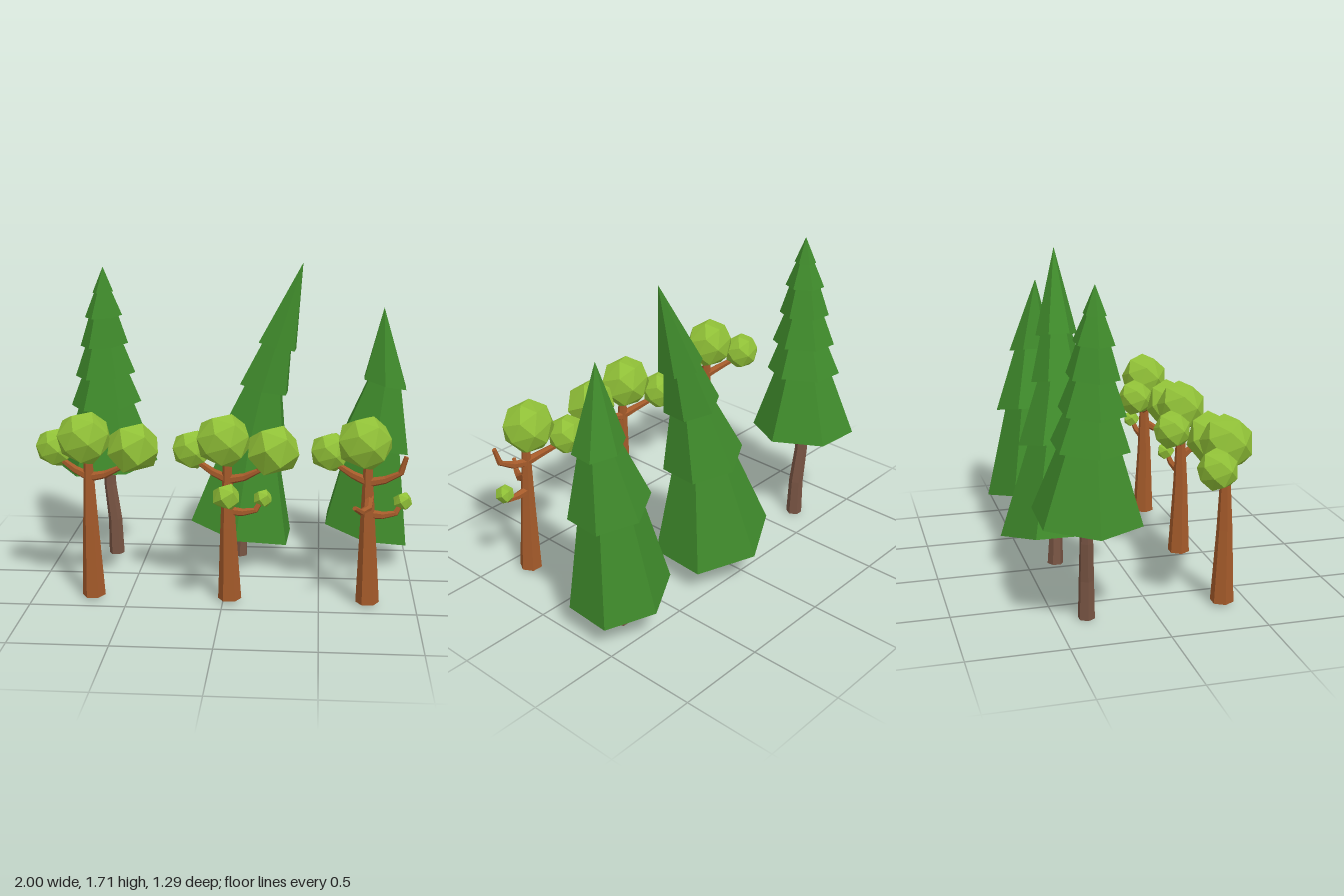
import * as THREE from 'three';
import { ConvexGeometry } from 'three/addons/geometries/ConvexGeometry.js';

const mat = (name, color) => {
  const m = new THREE.MeshStandardMaterial({ color, flatShading: true });
  m.name = name;
  return m;
};

export function createModel() {
  const model = new THREE.Group();
  model.name = 'forest';
  const needleGreen = mat('needleGreen', 0x3f8a2b);
  const leafGreen = mat('leafGreen', 0x90c037);
  const bark = mat('bark', 0xa45a2a);
  const darkBark = mat('darkBark', 0x785443);

  const add = (group, name, geometry, material) => {
    const mesh = new THREE.Mesh(geometry, material);
    mesh.name = name;
    group.add(mesh);
    return mesh;
  };

  // Tapered, capped, six-sided limb swept along a path
  function limb(points, r0, r1) {
    const curve = new THREE.CatmullRomCurve3(points.map(p => new THREE.Vector3(...p)));
    const n = points.length - 1;
    const frames = curve.computeFrenetFrames(n);
    const g = new THREE.CylinderGeometry(1, 1, 1, 6, n);
    const pos = g.attributes.position;
    for (let i = 0; i < pos.count; i++) {
      const t = pos.getY(i) + 0.5;
      const k = Math.round(t * n);
      const r = THREE.MathUtils.lerp(r0, r1, t);
      const p = curve.getPointAt(k / n)
        .addScaledVector(frames.normals[k], pos.getX(i) * r)
        .addScaledVector(frames.binormals[k], -pos.getZ(i) * r);
      pos.setXYZ(i, p.x, p.y, p.z);
    }
    g.computeVertexNormals();
    return g;
  }

  // Hexagonal skirt between two ring centres, rings sloped, underside hollowed
  function skirt(top, rTop, bottom, rBottom, slopeX, slopeZ, turn) {
    const g = new THREE.CylinderGeometry(rTop, rBottom, 1, 6, 1, false, turn);
    const pos = g.attributes.position;
    const a = new THREE.Vector3(...bottom), b = new THREE.Vector3(...top);
    for (let i = 0; i < pos.count; i++) {
      const x = pos.getX(i), z = pos.getZ(i), t = pos.getY(i) + 0.5;
      const c = a.clone().lerp(b, t);
      const hollow = t === 0 && Math.hypot(x, z) < 1e-6 ? rBottom * 0.15 : 0;
      pos.setXYZ(i, c.x + x, c.y + slopeX * x + slopeZ * z + hollow, c.z + z);
    }
    g.computeVertexNormals();
    return g;
  }

  // Faceted leaf clump: hull of evenly spread points on a ball
  function clumpGeometry(r, count) {
    const points = [];
    for (let i = 0; i < count; i++) {
      const y = 1 - (2 * i + 1) / count, s = Math.sqrt(1 - y * y), a = i * 2.39996;
      points.push(new THREE.Vector3(s * Math.cos(a), y, s * Math.sin(a)).multiplyScalar(r));
    }
    return new ConvexGeometry(points);
  }

  // Conifer: rings run from under the tip down, as [x, y, z, radius]
  function conifer(name, { apex, rings, slopeX, slopeZ, turn, trunk }) {
    const tree = new THREE.Group();
    tree.name = name;
    add(tree, 'coniferTrunk', limb(trunk, 0.044, 0.03), darkBark);
    let top = apex, rTop = 0;
    rings.forEach(([x, y, z, r], i) => {
      add(tree, 'needleTier' + (i + 1), skirt(top, rTop, [x, y, z], r, slopeX, slopeZ, turn), needleGreen);
      top = [x, y + 0.015, z];
      rTop = r * 0.74;
    });
    model.add(tree);
  }

  conifer('tallConifer', {
    apex: [-0.72, 1.675, -0.303],
    rings: [
      [-0.722, 1.535, -0.305, 0.058], [-0.722, 1.4, -0.31, 0.105], [-0.722, 1.24, -0.315, 0.135],
      [-0.72, 1.07, -0.32, 0.17], [-0.72, 0.9, -0.33, 0.2], [-0.718, 0.545, -0.348, 0.283],
    ],
    slopeX: 0.07, slopeZ: -0.05, turn: Math.PI / 6,
    trunk: [[-0.68, 0, -0.345], [-0.685, 0.2, -0.345], [-0.712, 0.42, -0.35], [-0.72, 0.62, -0.35]],
  });
  conifer('leaningConifer', {
    apex: [0.39, 1.71, -0.257],
    rings: [
      [0.253, 1.25, -0.278, 0.115], [0.18, 1.01, -0.288, 0.147],
      [0.11, 0.68, -0.31, 0.215], [0.053, 0.19, -0.332, 0.311],
    ],
    slopeX: -0.23, slopeZ: 0, turn: -0.05,
    trunk: [[0.045, 0.008, -0.345], [0.05, 0.15, -0.34], [0.06, 0.3, -0.332]],
  });
  conifer('shortConifer', {
    apex: [0.835, 1.468, -0.275],
    rings: [[0.852, 1.045, -0.3, 0.133], [0.806, 0.7, -0.315, 0.21], [0.766, 0.187, -0.335, 0.262]],
    slopeX: -0.24, slopeZ: 0, turn: -0.05,
    trunk: [[0.772, 0.008, -0.345], [0.774, 0.15, -0.345], [0.775, 0.3, -0.335]],
  });

  // Broadleaf branches and leaf clumps, placed relative to the trunk foot in x
  const branches = {
    leftTop: [[-0.01, 0.66, 0.365], [-0.08, 0.685, 0.34], [-0.15, 0.72, 0.3], [-0.2, 0.77, 0.26]],
    rightTop: [[-0.01, 0.655, 0.365], [0.065, 0.67, 0.37], [0.145, 0.7, 0.38], [0.18, 0.8, 0.39]],
    rightLow: [[0, 0.49, 0.365], [0.07, 0.483, 0.365], [0.13, 0.49, 0.36], [0.17, 0.55, 0.34]],
    frontLeafy: [[0, 0.56, 0.365], [0, 0.615, 0.44], [0, 0.615, 0.5], [0, 0.622, 0.57]],
    frontBare: [[0, 0.58, 0.365], [-0.01, 0.535, 0.44], [-0.04, 0.535, 0.49], [-0.08, 0.575, 0.555]],
  };
  // [x, y, z, radius, depth scale, facet points]
  const clumps = {
    crown: [-0.03, 0.862, 0.36, 0.145, 0.92, 22],
    leftTop: [-0.203, 0.785, 0.255, 0.106, 0.95, 22],
    rightTop: [0.227, 0.815, 0.37, 0.141, 0.92, 16],
    rightLow: [0.172, 0.553, 0.338, 0.051, 1, 14],
    frontLeafy: [0, 0.626, 0.573, 0.073, 1, 14],
  };

  function broadleaf(name, x, branchNames, clumpNames) {
    const tree = new THREE.Group();
    tree.name = name;
    tree.position.x = x;
    add(tree, 'trunk', limb([[0.003, 0.012, 0.367], [-0.005, 0.4, 0.37], [-0.012, 0.8, 0.365]], 0.061, 0.02), bark);
    for (const b of branchNames) add(tree, b + 'Branch', limb(branches[b], 0.025, 0.012), bark);
    for (const c of clumpNames) {
      const [cx, cy, cz, r, depth, count] = clumps[c];
      const clump = add(tree, c + 'Leaves', clumpGeometry(r, count), leafGreen);
      clump.position.set(cx, cy, cz);
      clump.scale.z = depth;
    }
    model.add(tree);
  }

  broadleaf('rightBroadleaf', -0.687, ['leftTop', 'rightTop'], ['crown', 'leftTop', 'rightTop']);
  broadleaf('middleBroadleaf', 0.032, ['leftTop', 'rightTop', 'rightLow', 'frontLeafy'],
    ['crown', 'leftTop', 'rightTop', 'rightLow', 'frontLeafy']);
  broadleaf('leftBroadleaf', 0.75, ['leftTop', 'rightTop', 'rightLow', 'frontBare'],
    ['crown', 'leftTop', 'rightLow']);

  return model;
}
